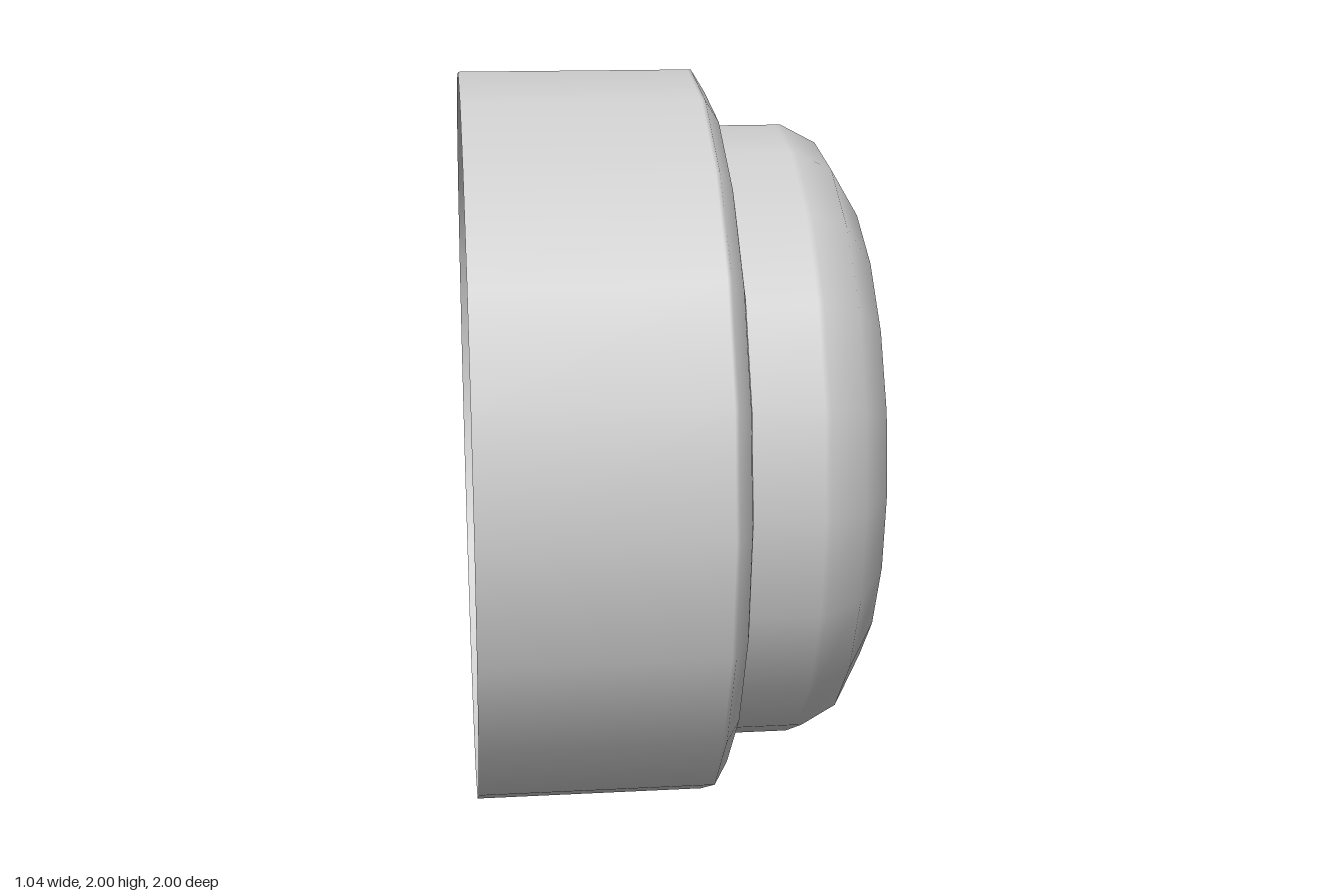
import * as THREE from 'three';

const SIDES = 20;

export function createModel() {
  const model = new THREE.Group();
  const material = new THREE.MeshStandardMaterial({ color: 0xcccccc, side: THREE.DoubleSide });

  // Turns a profile of [position along x, radius] pairs around the x axis
  function turned(name, profile) {
    const points = profile.map(([x, r]) => new THREE.Vector2(r, x));
    const geometry = new THREE.LatheGeometry(points, SIDES);
    geometry.rotateZ(-Math.PI / 2);
    const mesh = new THREE.Mesh(geometry, material);
    mesh.name = name;
    mesh.position.y = 1;
    model.add(mesh);
  }

  // Thin sleeve, open at the back, with a rounded shoulder
  turned('housing', [[-0.52, 1], [0.09, 1], [0.10, 1], [0.137, 0.94], [0.15, 0.87], [0.15, 0.85]]);

  // Short lip around the hole in the shoulder
  turned('housingLip', [[0.12, 0.85], [0.15, 0.85]]);

  // Push cap with a softly bevelled face
  turned('cap', [[0.15, 0.85], [0.33, 0.85], [0.345, 0.85], [0.44, 0.80], [0.52, 0.665], [0.52, 0.58], [0.52, 0]]);

  // Flat plate closing the cap from behind
  turned('capBase', [[0.15, 0], [0.15, 0.85]]);

  return model;
}
